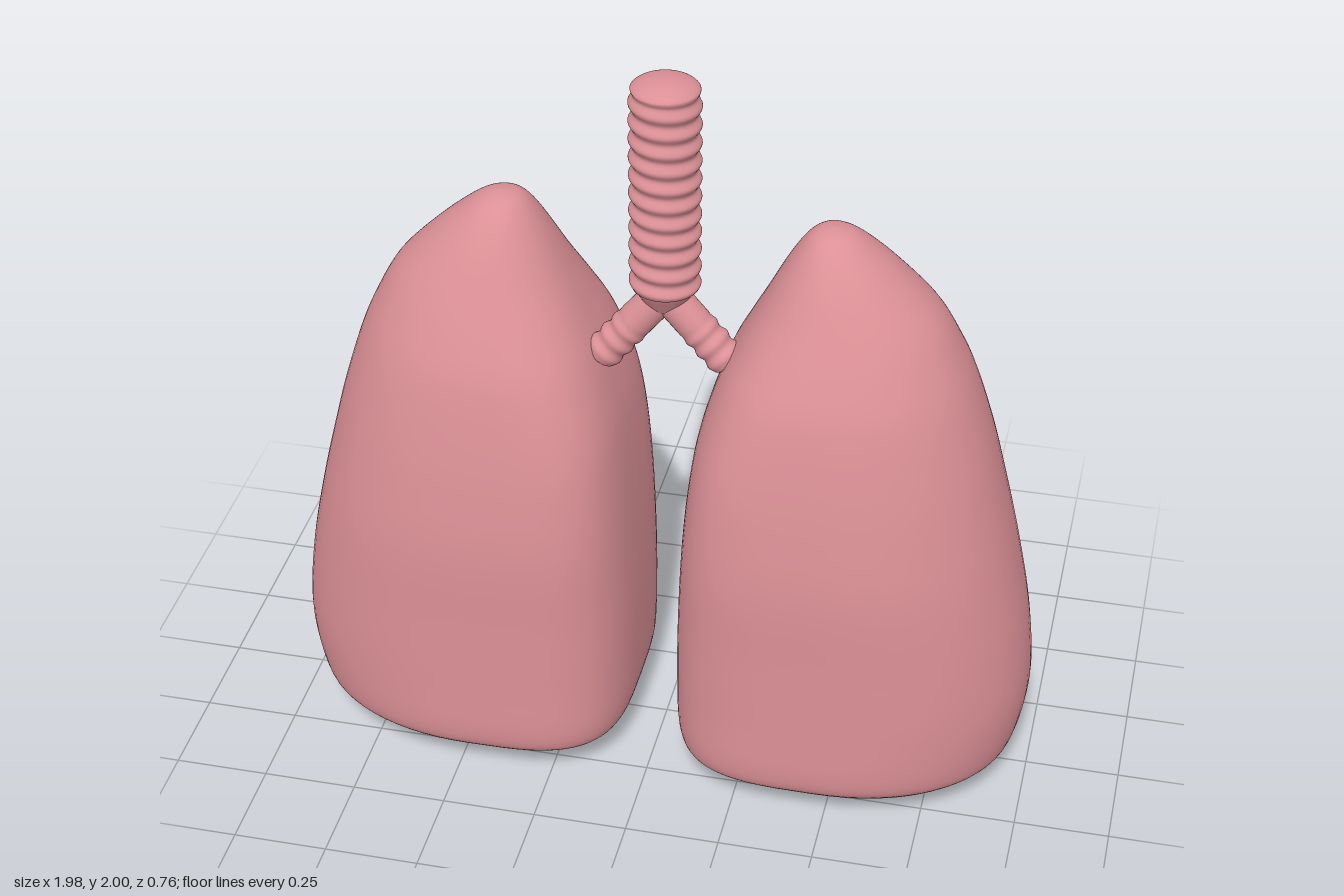
import * as THREE from 'three';

const tissue = new THREE.MeshStandardMaterial({ color: 0xdb9096 });

// Skin a closed surface through rows of points; pointAt(v, angle) returns [x, y, z]
function loft(name, rows, segs, pointAt) {
  const pos = [], index = [];
  for (let j = 0; j <= rows; j++)
    for (let i = 0; i < segs; i++) pos.push(...pointAt(j / rows, (i / segs) * Math.PI * 2));
  for (let j = 0; j < rows; j++)
    for (let i = 0; i < segs; i++) {
      const a = j * segs + i, b = j * segs + ((i + 1) % segs);
      const c = a + segs, d = b + segs;
      index.push(a, c, b, b, c, d);
    }
  const geo = new THREE.BufferGeometry();
  geo.setAttribute('position', new THREE.Float32BufferAttribute(pos, 3));
  geo.setIndex(index);
  geo.computeVertexNormals();
  const mesh = new THREE.Mesh(geo, tissue);
  mesh.name = name;
  return mesh;
}

// Lung outline: height, inner x, outer x, half depth
const lungRows = [
  [0.008, 0.55, 0.55, 0], [0.006, 0.44, 0.68, 0.12], [0.004, 0.35, 0.77, 0.2],
  [0.04, 0.22, 0.86, 0.28], [0.085, 0.105, 0.93, 0.35], [0.14, 0.068, 0.965, 0.378],
  [0.3, 0.06, 0.99, 0.38], [0.5, 0.062, 0.973, 0.38], [0.72, 0.072, 0.93, 0.38],
  [0.9, 0.087, 0.887, 0.36], [1.05, 0.11, 0.848, 0.335], [1.2, 0.155, 0.8, 0.3],
  [1.3, 0.2, 0.757, 0.258], [1.4, 0.25, 0.7, 0.205], [1.5, 0.3, 0.605, 0.147],
  [1.57, 0.342, 0.525, 0.095], [1.606, 0.378, 0.472, 0.05], [1.617, 0.425, 0.425, 0],
];

function lung(name) {
  const inner = new THREE.SplineCurve(lungRows.map(r => new THREE.Vector2(r[0], r[1])));
  const outer = new THREE.SplineCurve(lungRows.map(r => new THREE.Vector2(r[2], r[3])));
  return loft(name, 102, 72, (v, a) => {
    const { x: y, y: x0 } = inner.getPoint(v);
    const { x: x1, y: depth } = outer.getPoint(v);
    const c = Math.cos(a), s = Math.sin(a);
    const mid = THREE.MathUtils.lerp(x0, x1, 0.44);
    // Boxy towards the middle of the body, rounder outside and at the tip
    const boxy = 1 - THREE.MathUtils.smoothstep(y, 0.9, 1.6);
    const n = c < 0 ? 2 + 1.5 * boxy : 2 + 0.15 * boxy;
    const p = (t) => Math.sign(t) * Math.pow(Math.abs(t), 2 / n);
    return [mid + p(c) * (c < 0 ? mid - x0 : x1 - mid), Math.max(0, y), p(s) * depth];
  });
}

// Windpipe: ribbed at the front and sides, smooth along the back
function windpipe() {
  const cx = 0.005, cz = 0.042;
  const profile = (v) => {
    if (v < 0.08) return [THREE.MathUtils.lerp(0.045, 0.082, v / 0.08), 1.36 + v / 0.08 * 0.06];
    if (v > 0.94) {
      const t = ((v - 0.94) / 0.06) * Math.PI / 2;
      return [0.058 * Math.cos(t) + 0.028 * (1 - t / (Math.PI / 2)), 1.975 + 0.025 * Math.sin(t)];
    }
    return [0.086, 1.42 + ((v - 0.08) / 0.86) * 0.555];
  };
  return loft('windpipe', 200, 40, (v, a) => {
    const [r, y] = profile(v);
    const front = THREE.MathUtils.smoothstep(Math.sin(a), -0.55, -0.25);
    const fade = THREE.MathUtils.smoothstep(v, 0.06, 0.1) * (1 - THREE.MathUtils.smoothstep(v, 0.91, 0.95));
    const rib = 0.0055 * Math.sin(((y - 1.42) / 0.05) * Math.PI * 2 + 0.6 * Math.cos(a)) * front * fade;
    return [cx + Math.cos(a) * (r + rib), y, cz + Math.sin(a) * (r + rib)];
  });
}

// Branch from the windpipe to one lung, with faint ribs and a rounded end
function bronchus(name, end) {
  const start = new THREE.Vector3(0.005, 1.4, 0.042);
  const dir = end.clone().sub(start);
  const length = dir.length();
  const mesh = loft(name, 80, 28, (v, a) => {
    const tip = Math.sqrt(Math.max(0, 1 - Math.pow(Math.max(0, (v - 0.94) / 0.06), 2)));
    const rib = 0.003 * Math.sin(v * Math.PI * 12) * THREE.MathUtils.smoothstep(v, 0.4, 0.6);
    const r = (0.047 + rib) * tip * Math.min(1, v / 0.02);
    return [Math.cos(a) * r, v * length, Math.sin(a) * r];
  });
  mesh.position.copy(start);
  mesh.quaternion.setFromUnitVectors(new THREE.Vector3(0, 1, 0), dir.normalize());
  return mesh;
}

export function createModel() {
  const model = new THREE.Group();
  model.name = 'lungs';
  const leftLung = lung('leftLung');
  const rightLung = lung('rightLung');
  rightLung.rotation.y = Math.PI;
  model.add(
    leftLung, rightLung, windpipe(),
    bronchus('leftBronchus', new THREE.Vector3(0.18, 1.215, 0.058)),
    bronchus('rightBronchus', new THREE.Vector3(-0.165, 1.195, 0.066)),
  );
  return model;
}
